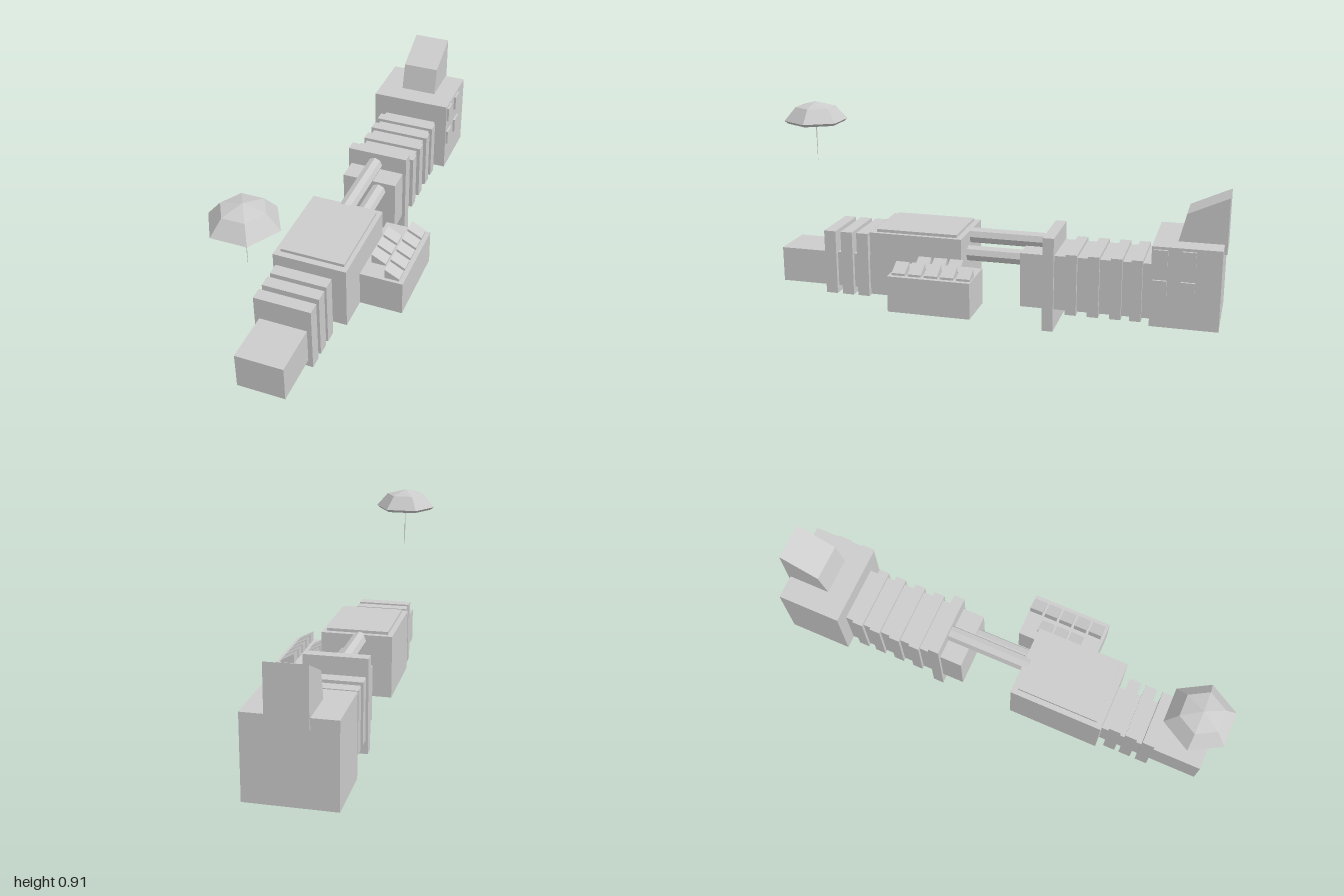
import * as THREE from 'three';

const material = new THREE.MeshStandardMaterial({ color: 0xcccccc, flatShading: true, side: THREE.DoubleSide });

function add(group, name, geometry) {
  const mesh = new THREE.Mesh(geometry, material);
  mesh.name = name;
  group.add(mesh);
  return mesh;
}

// Box given by its limits on each axis; open boxes have no underside
function box(group, name, [x0, x1], [y0, y1], [z0, z1], open = false) {
  const g = new THREE.BoxGeometry(x1 - x0, y1 - y0, z1 - z0);
  if (open) {
    const index = Array.from(g.index.array);
    index.splice(18, 6);
    g.setIndex(index);
    g.clearGroups();
  }
  g.translate((x0 + x1) / 2, (y0 + y1) / 2, (z0 + z1) / 2);
  return add(group, name, g);
}

// Flat outline pushed out along z
function prism(points, depth) {
  const shape = new THREE.Shape(points.map(([x, y]) => new THREE.Vector2(x, y)));
  return new THREE.ExtrudeGeometry(shape, { depth, bevelEnabled: false });
}

export function createModel() {
  const model = new THREE.Group();

  // Front section: neck with three ribs
  const front = new THREE.Group();
  front.name = 'frontSection';
  model.add(front);
  box(front, 'frontNeck', [-0.175, 0.03], [0.105, 0.264], [0.53, 0.992], true);
  for (const z of [0.593, 0.668, 0.747]) {
    box(front, 'frontRib', [-0.195, 0.05], [0.073, 0.367], [z - 0.027, z + 0.027], true);
  }

  // Middle section: hull and raised roof panel
  const middle = new THREE.Group();
  middle.name = 'middleSection';
  model.add(middle);
  box(middle, 'hull', [-0.222, 0.099], [0.105, 0.391], [0.116, 0.535]);
  box(middle, 'roofPanel', [-0.198, 0.08], [0.391, 0.404], [0.142, 0.507]);

  // Side console with two rows of sloping keys
  const side = new THREE.Group();
  side.name = 'sideConsole';
  model.add(side);
  box(side, 'consoleBox', [0.085, 0.287], [0.105, 0.264], [0.025, 0.388], true);
  const rows = [[0.119, [1, 2, 3]], [0.204, [0, 1, 2, 3, 4]]];
  for (const [x, slots] of rows) {
    for (const i of slots) {
      const key = add(side, 'key', prism([[0, 0], [0.063, 0], [0.063, 0.01], [0, 0.043]], 0.059));
      key.position.set(x, 0.264, 0.029 + i * 0.0715);
    }
  }

  // Connecting rods between the middle and rear sections
  for (const [name, x, y, z0, z1] of [['upperRod', -0.07, 0.364, -0.24, 0.14], ['lowerRod', -0.016, 0.297, -0.14, 0.12]]) {
    const rod = add(model, name, new THREE.CylinderGeometry(0.035, 0.035, z1 - z0, 8));
    rod.rotation.x = Math.PI / 2;
    rod.position.set(x, y, (z0 + z1) / 2);
  }

  // Rear section: neck, tall plate and four ribs
  const rear = new THREE.Group();
  rear.name = 'rearSection';
  model.add(rear);
  box(rear, 'rearNeck', [-0.185, 0.065], [0.1, 0.342], [-0.705, -0.138], true);
  box(rear, 'tallPlate', [-0.198, 0.08], [0.002, 0.422], [-0.287, -0.238], true);
  for (const z of [-0.363, -0.459, -0.555, -0.64]) {
    box(rear, 'rearRib', [-0.198, 0.081], [0.086, 0.356], [z - 0.024, z + 0.024], true);
  }

  // Rear block with four windows on its left side
  box(rear, 'rearBlock', [-0.242, 0.124], [0.09, 0.438], [-0.988, -0.703], true);
  for (const z of [-0.741, -0.855]) {
    for (const y of [0.26, 0.391]) {
      box(rear, 'window', [0.12, 0.134], [y - 0.035, y + 0.035], [z - 0.029, z + 0.029]);
    }
  }

  // Slanted tower on the rear block
  const tower = add(rear, 'tower', prism([[1, 0.395], [1, 0.635], [0.83, 0.557], [0.79, 0.395]], 0.165));
  tower.rotation.y = Math.PI / 2;
  tower.position.x = -0.136;

  // Floating parasol: six-sided canopy and a pointed stick
  const parasol = new THREE.Group();
  parasol.name = 'parasol';
  parasol.position.set(-0.144, 0, 0.876);
  model.add(parasol);
  const profile = [[0.127, 0.82], [0.143, 0.833], [0.09, 0.894], [0, 0.917]].map(([r, y]) => new THREE.Vector2(r, y));
  add(parasol, 'canopy', new THREE.LatheGeometry(profile, 6, Math.PI / 2));
  const stick = add(parasol, 'stick', new THREE.CylinderGeometry(0.004, 0.0005, 0.265, 6));
  stick.position.y = 0.775;

  return model;
}
